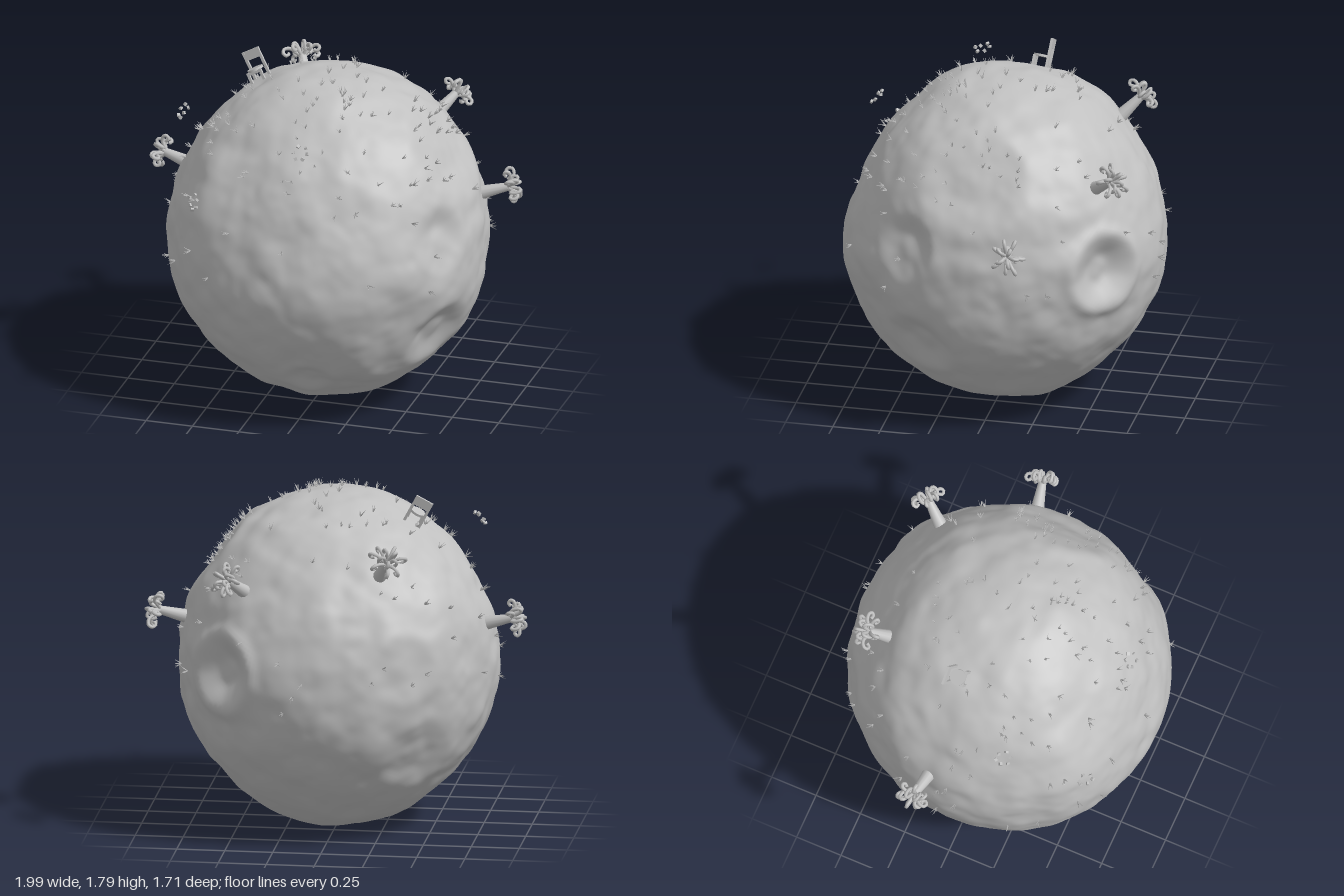
import * as THREE from 'three';
import { mergeVertices, mergeGeometries } from 'three/addons/utils/BufferGeometryUtils.js';

const V = (x, y, z) => new THREE.Vector3(x, y, z);
const UP = V(0, 1, 0);

// Seeded random numbers
let seed = 11;
function rand() {
  seed = (seed * 16807) % 2147483647;
  return seed / 2147483647;
}
const between = (a, b) => a + (b - a) * rand();

// Smooth lattice noise in -1..1
function hash(x, y, z) {
  const s = Math.sin(x * 127.1 + y * 311.7 + z * 74.7) * 43758.5453;
  return (s - Math.floor(s)) * 2 - 1;
}
function noise(x, y, z) {
  const i = Math.floor(x), j = Math.floor(y), k = Math.floor(z);
  const f = (t) => t * t * (3 - 2 * t);
  const u = f(x - i), v = f(y - j), w = f(z - k);
  const mix = THREE.MathUtils.lerp;
  const row = (b, c) => mix(hash(i, b, c), hash(i + 1, b, c), u);
  return mix(mix(row(j, k), row(j + 1, k), v), mix(row(j, k + 1), row(j + 1, k + 1), v), w);
}

// Craters and broad hollows: direction, radius, depth, rim height
const craters = [
  [V(0.565, 0.04, -0.68), 0.2, 0.07, 0.018],
  [V(0.65, 0.52, 0.03), 0.28, 0.03, 0.008],
  [V(0.72, -0.42, 0.32), 0.22, 0.055, 0.003],
  [V(0.74, 0.16, 0.38), 0.2, 0.04, 0],
  [V(0.08, -0.6, 0.6), 0.13, 0.025, 0.004],
  [V(-0.5, -0.42, -0.6), 0.22, 0.03, 0.003],
  [V(-0.45, 0.1, -0.72), 0.18, 0.015, 0.003],
  [V(0.25, -0.72, 0.48), 0.2, 0.02, 0.003],
  [V(-0.6, 0.5, 0.1), 0.6, 0.025, 0],
  [V(0, 0.5, 0.85), 0.7, 0.045, 0],
  [V(-0.05, 0.4, -0.9), 0.55, 0.03, 0],
].map(([d, ...rest]) => [d.normalize(), ...rest]);

// Distance from the planet's centre to its ground in direction d
function groundRadius(d) {
  // Fuller lower half with a flattened underside
  let r = 1 / Math.hypot(d.x / 0.832, d.y / (d.y < 0 ? 0.887 : 0.862), d.z / 0.842);
  if (d.y < 0) r = Math.min(r, -0.862 / d.y);
  r += 0.012 * noise(d.x * 3 + 9, d.y * 3, d.z * 3);
  r += 0.01 * noise(d.x * 7, d.y * 7 + 5, d.z * 7);
  r += 0.003 * noise(d.x * 15, d.y * 15, d.z * 15 + 3);
  for (const [c, size, depth, rim] of craters) {
    const t = (d.angleTo(c) * 0.85) / size;
    r -= depth * (1 - THREE.MathUtils.smoothstep(t, 0.3, 1));
    r += rim * Math.exp(-(((t - 1.08) / 0.2) ** 2));
  }
  return r;
}

function planetGeometry() {
  let geo = new THREE.IcosahedronGeometry(1, 48);
  geo.deleteAttribute('normal');
  geo.deleteAttribute('uv');
  geo = mergeVertices(geo, 1e-5);
  const pos = geo.attributes.position;
  const d = V(0, 0, 0);
  for (let i = 0; i < pos.count; i++) {
    d.fromBufferAttribute(pos, i).normalize();
    d.multiplyScalar(groundRadius(d));
    pos.setXYZ(i, d.x, d.y, d.z);
  }
  geo.computeVertexNormals();
  return geo;
}

// Stand an object on the ground, pointing away from the centre
function plant(obj, dir, lift = 0) {
  dir = dir.clone().normalize();
  obj.position.copy(dir).multiplyScalar(groundRadius(dir) + lift);
  obj.quaternion.setFromUnitVectors(UP, dir);
  return obj;
}

// Thick trunk with a crown of curled branches
function makeTree(mat) {
  const tree = new THREE.Group();
  tree.name = 'tree';
  const trunk = new THREE.Mesh(new THREE.CylinderGeometry(0.022, 0.038, 0.16, 12), mat);
  trunk.position.y = 0.03;
  trunk.name = 'trunk';
  tree.add(trunk);
  const curls = [];
  const addCurl = (angle, reach, height) => {
    const path = [[0, -0.01], [0.3, 0.5], [0.62, 0.95], [0.93, 0.9], [1, 0.5], [0.82, 0.25], [0.68, 0.5]]
      .map(([a, b]) => V(a * reach, b * height, 0));
    const geo = new THREE.TubeGeometry(new THREE.CatmullRomCurve3(path), 16, 0.0095, 6);
    geo.rotateY(angle);
    curls.push(geo);
  };
  for (let i = 0; i < 7; i++) addCurl((i / 7) * Math.PI * 2 + between(-0.2, 0.2), between(0.08, 0.1), between(0.035, 0.06));
  for (let i = 0; i < 5; i++) addCurl((i / 5) * Math.PI * 2 + 0.4, between(0.045, 0.065), between(0.065, 0.08));
  const crown = new THREE.Mesh(mergeGeometries(curls), mat);
  crown.position.y = 0.1;
  crown.name = 'curledBranches';
  tree.add(crown);
  return tree;
}

// Small chair with a round seat, facing +z
function makeChair(mat) {
  const chair = new THREE.Group();
  chair.name = 'chair';
  const box = (name, w, h, d, x, y, z) => {
    const m = new THREE.Mesh(new THREE.BoxGeometry(w, h, d), mat);
    m.position.set(x, y, z);
    m.name = name;
    chair.add(m);
  };
  for (const s of [-1, 1]) {
    box('backPost', 0.014, 0.185, 0.014, s * 0.042, 0.0725, -0.042);
    box('frontLeg', 0.014, 0.085, 0.014, s * 0.036, 0.025, 0.032);
  }
  box('topRail', 0.098, 0.05, 0.012, 0, 0.142, -0.042);
  box('frontRail', 0.086, 0.014, 0.012, 0, 0.058, 0.032);
  const seat = new THREE.Mesh(new THREE.CylinderGeometry(0.043, 0.043, 0.012, 12), mat);
  seat.position.y = 0.07;
  seat.name = 'seat';
  chair.add(seat);
  return chair;
}

// One clump of thin leaning blades
function tuftGeometry() {
  const blades = [];
  for (let i = 0; i < 5; i++) {
    const h = between(0.028, 0.054);
    const blade = new THREE.ConeGeometry(0.0046, h, 3);
    blade.translate(0, h / 2 - 0.004, 0);
    blade.rotateZ(between(0.1, 0.75));
    blade.rotateY((i / 5) * Math.PI * 2 + rand());
    blades.push(blade);
  }
  return mergeGeometries(blades);
}

function grassGeometry() {
  const tufts = [];
  const holder = new THREE.Object3D();
  for (let i = 0; i < 150; i++) {
    const a = rand() * Math.PI * 2;
    const y = between(-0.15, 1);
    const s = Math.sqrt(1 - y * y);
    const d = V(Math.cos(a) * s, y, Math.sin(a) * s);
    // Most clumps gather on the upper front
    if (i > 80) d.multiplyScalar(0.75).add(V(0.24, 0.6, 0.34));
    plant(holder, d);
    holder.updateMatrix();
    tufts.push(tuftGeometry().applyMatrix4(holder.matrix));
  }
  return mergeGeometries(tufts);
}

export function createModel() {
  const stone = new THREE.MeshStandardMaterial({ color: 0xc0c0c0 });
  stone.name = 'pale grey';

  const model = new THREE.Group();
  model.name = 'smallPlanet';

  const planet = new THREE.Mesh(planetGeometry(), stone);
  planet.name = 'crateredGround';
  const bottom = new THREE.Box3().setFromObject(planet).min.y;
  const world = new THREE.Group();
  world.name = 'world';
  world.position.set(0.008, -bottom, 0);
  world.add(planet);
  model.add(world);

  const grass = new THREE.Mesh(grassGeometry(), stone);
  grass.name = 'grassTufts';
  world.add(grass);

  // Four trees around the sides and back
  for (const d of [V(0.84, 0.23, -0.19), V(-0.82, 0.22, -0.11), V(0.42, 0.46, -0.57), V(-0.3, 0.58, -0.57)]) {
    world.add(plant(makeTree(stone), d, 0.025));
  }

  // Chair on the upper side
  world.add(plant(makeChair(stone), V(-0.4, 0.74, -0.09), -0.012));

  // Floating rings of tiny stones
  for (const c of [V(-0.7, 0.67, 0.28), V(0.05, 0.69, 0.67), V(-0.53, 0.34, 0.67)]) {
    const ring = new THREE.Group();
    ring.name = 'floatingStones';
    ring.position.copy(c);
    ring.quaternion.setFromUnitVectors(UP, c.clone().normalize());
    for (let i = 0; i < 6; i++) {
      const a = (i / 6) * Math.PI * 2;
      const pebble = new THREE.Mesh(new THREE.BoxGeometry(0.016, 0.012, 0.016), stone);
      pebble.position.set(Math.cos(a) * 0.038, between(-0.012, 0.012), Math.sin(a) * 0.038);
      pebble.rotation.set(rand(), a, rand());
      pebble.name = 'pebble';
      ring.add(pebble);
    }
    world.add(ring);
  }
  return model;
}
